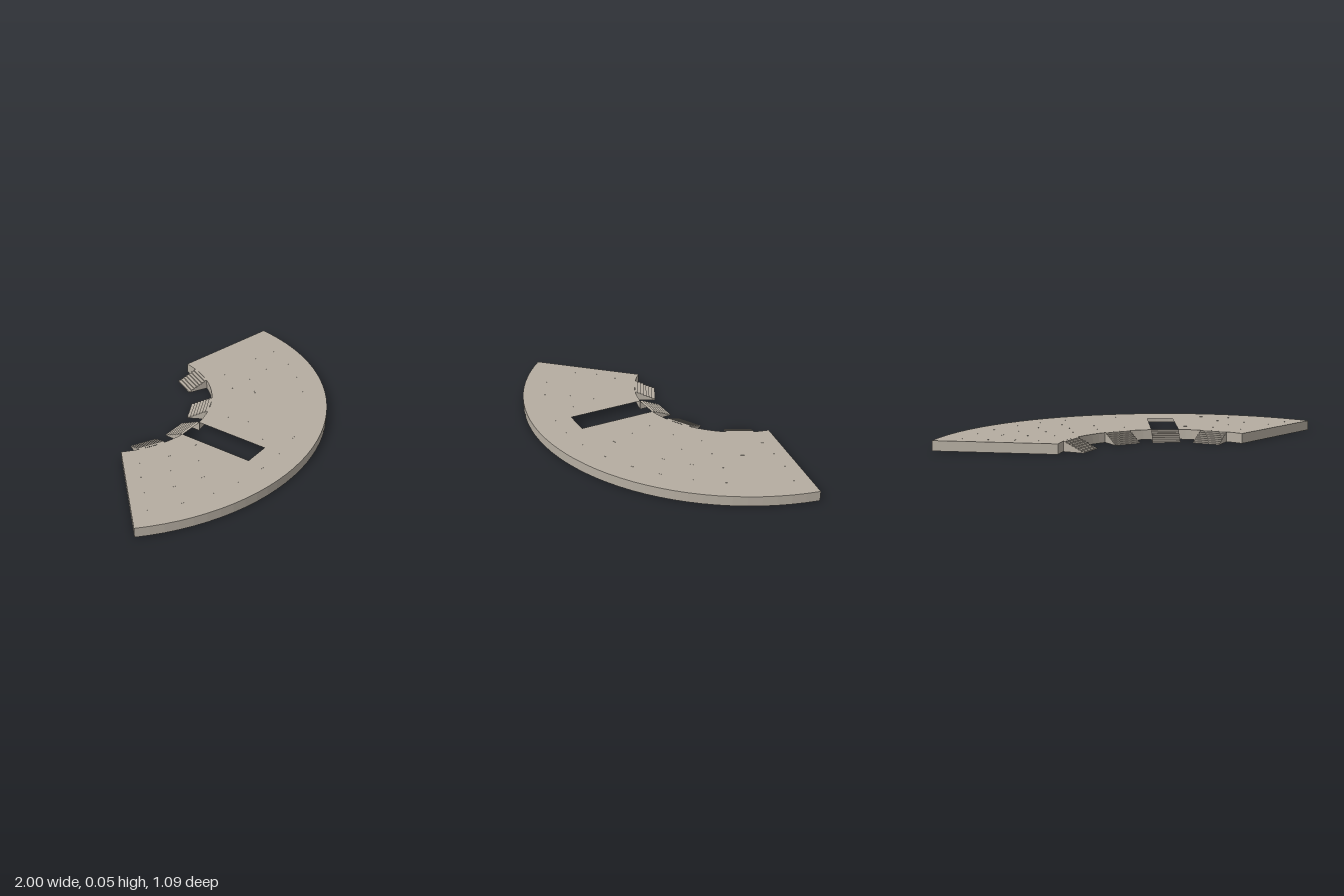
import * as THREE from 'three';
import { mergeGeometries } from 'three/addons/utils/BufferGeometryUtils.js';

const CX = -0.172, CZ = -0.655;        // centre of the arcs
const R_OUT = 1.194, R_IN = 0.558;
const A0 = 11.2, A1 = 133.9;           // sector limits in degrees
const H = 0.052;                       // height of the terrace
const SLOT_HALF = 0.072, SLOT_END = 0.32;

const rad = THREE.MathUtils.degToRad;
const polar = (r, deg) => [CX + r * Math.cos(rad(deg)), CZ + r * Math.sin(rad(deg))];

function arc(r, from, to, n) {
  const pts = [];
  for (let i = 0; i <= n; i++) pts.push(polar(r, from + (to - from) * i / n));
  return pts;
}

// Vertical strip along a path of [x, z] points
function wall(points) {
  const pos = [];
  for (let i = 0; i < points.length - 1; i++) {
    const [ax, az] = points[i], [bx, bz] = points[i + 1];
    pos.push(bx, 0, bz, ax, 0, az, ax, H, az, bx, 0, bz, ax, H, az, bx, H, bz);
  }
  const g = new THREE.BufferGeometry();
  g.setAttribute('position', new THREE.Float32BufferAttribute(pos, 3));
  g.computeVertexNormals();
  return g;
}

// Hollow flight descending from z = 0 towards -z
function stairGeometry(width, length, steps) {
  const parts = [], d = length / steps, rise = H / steps;
  for (let i = 0; i < steps; i++) {
    const y = H - i * rise, z = -i * d;
    parts.push(new THREE.PlaneGeometry(width, d).rotateX(-Math.PI / 2).translate(0, y, z - d / 2));
    parts.push(new THREE.PlaneGeometry(width, rise).rotateY(Math.PI).translate(0, y - rise / 2, z - d));
    for (const s of [-1, 1]) {
      parts.push(new THREE.PlaneGeometry(d, y).rotateY(s * Math.PI / 2)
        .translate(s * width / 2, y / 2, z - d / 2));
    }
  }
  return mergeGeometries(parts);
}

export function createModel() {
  const model = new THREE.Group();
  model.name = 'terrace';
  const stone = new THREE.MeshStandardMaterial({ color: 0xb5ada1, side: THREE.DoubleSide });
  stone.name = 'warm grey stone';
  const add = (name, geometry) => {
    const mesh = new THREE.Mesh(geometry, stone);
    mesh.name = name;
    model.add(mesh);
    return mesh;
  };

  // Outline pieces; the inner arc is broken by the slot
  const slotAngle = THREE.MathUtils.radToDeg(Math.asin(SLOT_HALF / R_IN));
  const outer = arc(R_OUT, A0, A1, 36);
  const innerLeft = arc(R_IN, A1, 90 + slotAngle, 10);
  const innerRight = arc(R_IN, 90 - slotAngle, A0, 16);

  // Deck with the stair slot cut into it
  const slot = [[CX - SLOT_HALF, SLOT_END], [CX + SLOT_HALF, SLOT_END]];
  const outline = [...outer, ...innerLeft, ...slot, ...innerRight];
  const shape = new THREE.Shape(outline.map(([x, z]) => new THREE.Vector2(x, -z)));
  add('deck', new THREE.ShapeGeometry(shape).rotateX(-Math.PI / 2).translate(0, H, 0));

  // Perimeter walls, open below
  add('outerWall', wall(outer));
  add('leftEndWall', wall([polar(R_IN, A0), polar(R_OUT, A0)]));
  add('rightEndWall', wall([polar(R_OUT, A1), polar(R_IN, A1)]));
  add('innerWallRight', wall(innerLeft));
  add('innerWallLeft', wall(innerRight));

  // Four flights of steps leading down to the inside of the arc
  const flight = stairGeometry(2 * SLOT_HALF, 0.116, 7);
  for (const deg of [27.3, 62.8, 90, 117]) {
    const stair = add('stairs', flight);
    const [x, z] = polar(R_IN - 0.002, deg);
    stair.position.set(x, 0, z);
    stair.rotation.y = Math.PI / 2 - rad(deg);
  }

  // Small markers set almost flush in the deck, in concentric rows
  const markers = [];
  for (const [r, count] of [[0.68, 9], [0.8, 11], [0.93, 13], [1.07, 14]]) {
    for (let i = 0; i < count; i++) {
      const deg = A0 + (A1 - A0) * (i + 0.5) / count;
      const [x, z] = polar(r, deg);
      if (Math.abs(x - CX) < SLOT_HALF + 0.02 && z < SLOT_END + 0.02) continue;
      markers.push(new THREE.BoxGeometry(0.02, 0.003, 0.005)
        .rotateY(Math.PI / 2 - rad(deg)).translate(x, H - 0.001, z));
    }
  }
  add('deckMarkers', mergeGeometries(markers));

  return model;
}
